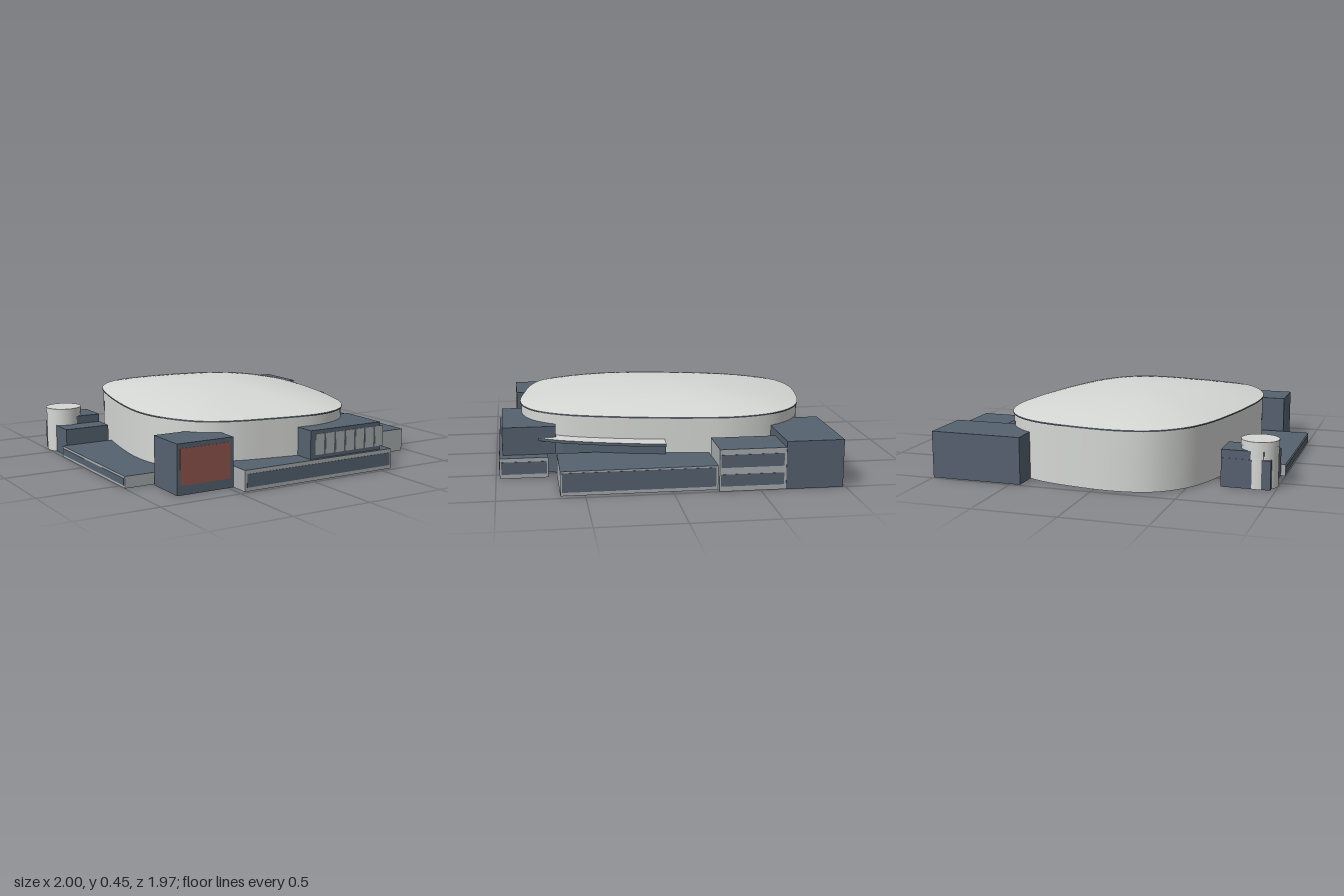
import * as THREE from 'three';

const mat = (name, color) => Object.assign(new THREE.MeshStandardMaterial({ color, side: THREE.DoubleSide }), { name });

export function createModel() {
  const group = new THREE.Group();
  const pale = mat('paleCladding', 0xd6d8d5);
  const grey = mat('greyConcrete', 0xa9adaf);
  const slate = mat('slatePanel', 0x566270);
  const red = mat('redScreen', 0x95584f);

  const add = (name, geometry, material) => {
    const m = new THREE.Mesh(geometry, material);
    m.name = name;
    group.add(m);
    return m;
  };

  // Block given by its extents, open at the bottom, with its own roof colour
  const block = (name, [x0, x1], [y0, y1], [z0, z1], side, top = slate) => {
    const g = new THREE.BoxGeometry(x1 - x0, y1 - y0, z1 - z0);
    const index = Array.from(g.index.array);
    g.setIndex([...index.slice(0, 12), ...index.slice(24), ...index.slice(12, 18)]);
    g.clearGroups();
    g.addGroup(0, 24, 0);
    g.addGroup(24, 6, 1);
    g.translate((x0 + x1) / 2, (y0 + y1) / 2, (z0 + z1) / 2);
    return add(name, g, [side, top]);
  };

  // Thin painted plates lying on a wall that faces x or z
  const T = 0.004;
  const plate = (name, [x0, x1], [y0, y1], [z0, z1], material) => {
    const g = new THREE.BoxGeometry(x1 - x0, y1 - y0, z1 - z0);
    add(name, g, material).position.set((x0 + x1) / 2, (y0 + y1) / 2, (z0 + z1) / 2);
  };
  const plateX = (name, x, ys, zs, m) => plate(name, [x - T / 2, x + T / 2], ys, zs, m);
  const plateZ = (name, xs, ys, z, m) => plate(name, xs, ys, [z - T / 2, z + T / 2], m);

  // Rounded, skewed plan of the hall
  const plan = [
    [-0.14, -0.955], [0.14, -0.93], [0.38, -0.87], [0.54, -0.765], [0.64, -0.615], [0.688, -0.4],
    [0.675, -0.19], [0.63, 0.107], [0.567, 0.374], [0.49, 0.59], [0.38, 0.74], [0.246, 0.818],
    [0.086, 0.842], [-0.18, 0.807], [-0.396, 0.76], [-0.556, 0.68], [-0.663, 0.535], [-0.727, 0.35],
    [-0.738, 0.16], [-0.706, -0.107], [-0.652, -0.374], [-0.583, -0.615], [-0.49, -0.786], [-0.34, -0.91],
  ].map(([x, z]) => new THREE.Vector3(x, 0, z));
  const N = 96;
  const outline = new THREE.CatmullRomCurve3(plan, true).getPoints(N).slice(0, N);
  const cx = -0.025, cz = -0.055;

  // Surface through scaled copies of the plan, each ring given as [scale, height]
  const loft = (rings) => {
    const pos = [], idx = [];
    for (const [s, y] of rings)
      for (const p of outline) pos.push(cx + (p.x - cx) * s, y, cz + (p.z - cz) * s);
    for (let r = 0; r < rings.length - 1; r++)
      for (let i = 0; i < N; i++) {
        const a = r * N + i, b = r * N + (i + 1) % N;
        idx.push(a, a + N, b, b, a + N, b + N);
      }
    const g = new THREE.BufferGeometry();
    g.setAttribute('position', new THREE.Float32BufferAttribute(pos, 3));
    g.setIndex(idx);
    g.computeVertexNormals();
    return g;
  };

  // Main hall
  add('hallWall', loft([[0.993, 0], [0.993, 0.353]]), pale);
  add('roofRim', loft([[1, 0.351], [1, 0.359]]), slate);
  const dome = [];
  for (let i = 0; i <= 14; i++) {
    const s = 1 - i / 14;
    dome.push([s, 0.359 + 0.091 * (1 - s * s)]);
  }
  add('domedRoof', loft(dome), pale);

  // Flat plan shape extruded downward from a given height
  const slab = (name, pts, top, depth, materials) => {
    const shape = new THREE.Shape(pts.map(([x, z]) => new THREE.Vector2(x, z)));
    const g = new THREE.ExtrudeGeometry(shape, { depth, bevelEnabled: false });
    g.rotateX(Math.PI / 2).translate(0, top, 0);
    add(name, g, materials);
  };

  // Curved entrance canopy and the dark glazed wall under it
  slab('entranceCanopy', [[0.6, 0], [0.755, 0.008], [0.738, 0.11], [0.715, 0.21], [0.685, 0.33], [0.65, 0.45],
    [0.59, 0.615], [0.55, 0.69], [0.505, 0.75], [0.4, 0.68], [0.5, 0.4]], 0.225, 0.017, [pale, slate]);
  slab('entranceWall', [[0.6, 0], [0.675, 0], [0.633, 0.21], [0.577, 0.42], [0.515, 0.6], [0.46, 0.69],
    [0.38, 0.68], [0.5, 0.4]], 0.208, 0.208, slate);

  // Back left tower block
  block('backBlock', [0.44, 1], [0, 0.282], [-0.985, -0.648], slate);

  // Two-storey side wing
  block('officeWing', [0.73, 0.998], [0, 0.247], [-0.648, -0.26], grey);
  for (const ys of [[0.03, 0.1], [0.14, 0.215]])
    plateX('officeWindowStrip', 0.998, ys, [-0.635, -0.268], slate);

  // Long low wing on the left
  block('leftWing', [0.58, 0.96], [0, 0.143], [-0.26, 0.64], grey);
  plateX('leftWingWindowStrip', 0.96, [0.02, 0.133], [-0.248, 0.63], slate);

  // Front wing with the glazed lounge above
  block('frontWing', [-0.46, 0.583], [0, 0.123], [0.69, 0.978], grey);
  plateZ('frontWindowStrip', [-0.445, 0.573], [0.022, 0.1], 0.978, slate);
  plateX('frontWingEndStrip', 0.583, [0.025, 0.1], [0.7, 0.968], slate);
  block('lounge', [0, 0.51], [0.123, 0.292], [0.64, 0.957], slate);
  for (let i = 0; i < 7; i++) {
    const x = 0.034 + i * 0.073;
    plateZ('loungePane', [x, x + 0.061], [0.145, 0.268], 0.957, grey);
  }

  // Front right block with a red screen
  block('screenBlock', [-0.823, -0.462], [0, 0.292], [0.592, 0.86], slate);
  plateZ('redScreen', [-0.803, -0.482], [0.055, 0.265], 0.86, red);

  // Low wing on the right
  block('rightWing', [-0.998, -0.62], [0, 0.07], [-0.33, 0.568], grey);
  plateX('rightWingWindowStrip', -0.998, [0.015, 0.056], [-0.318, 0.556], slate);

  // Service block and round tower
  block('serviceBlock', [-0.97, -0.68], [0, 0.172], [-0.672, -0.33], slate);
  block('serviceUpperBlock', [-0.93, -0.68], [0.17, 0.222], [-0.67, -0.47], slate);
  add('roundTower', new THREE.CylinderGeometry(0.109, 0.109, 0.245, 40, 1, true), pale).position.set(-0.888, 0.1225, -0.567);
  add('roundTowerCap', new THREE.CylinderGeometry(0.112, 0.112, 0.035, 40), pale).position.set(-0.888, 0.2605, -0.567);

  return group;
}
